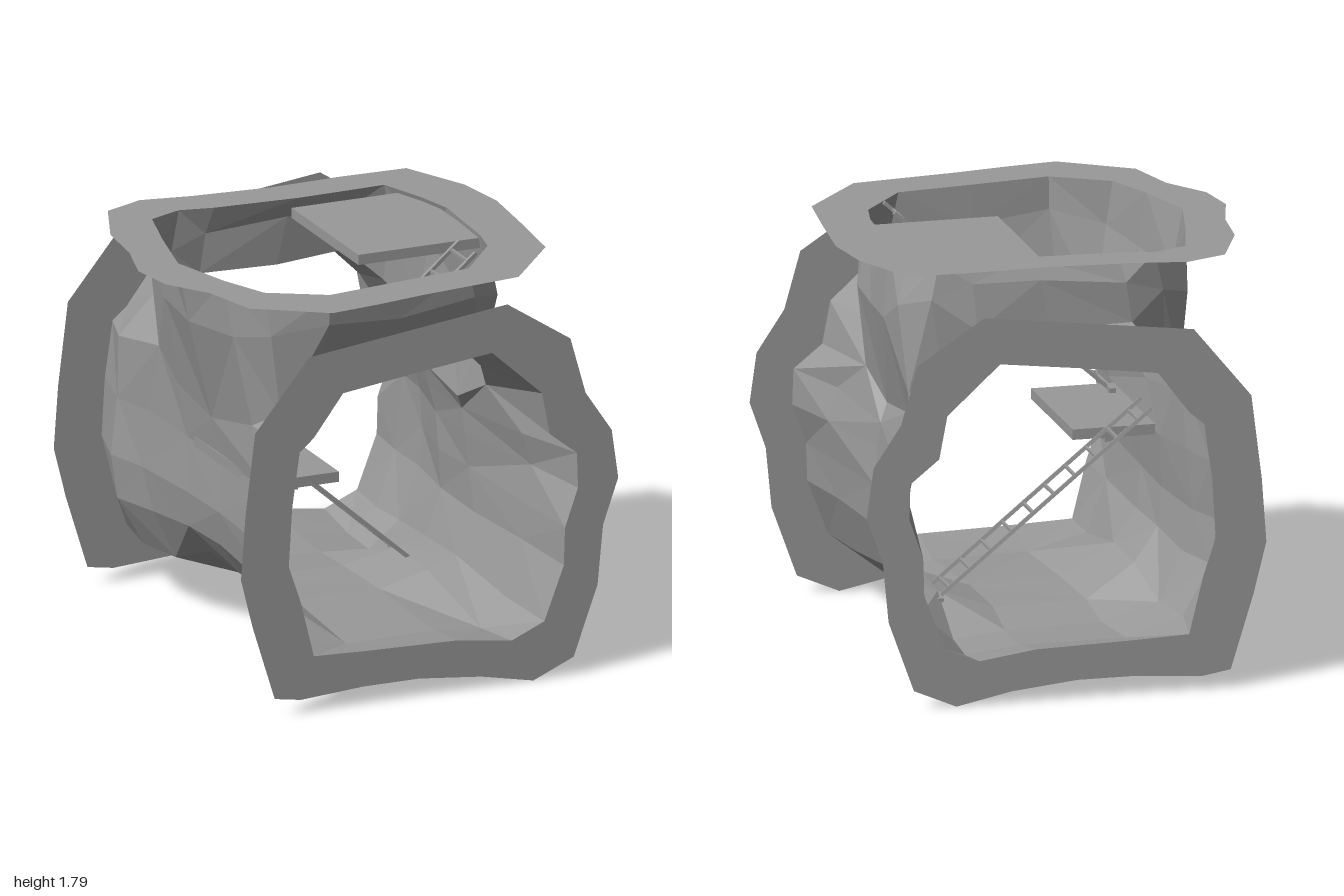
import * as THREE from 'three';

const rock = new THREE.MeshStandardMaterial({ color: 0x999999, side: THREE.DoubleSide });
rock.name = 'grey rock';

// Tunnel cross-sections, from the left shoulder over the top and round
const opening = [[-.535, 1.155], [-.47, 1.21], [-.335, 1.39], [.01, 1.435], [.35, 1.475], [.58, 1.265],
  [.615, 1.08], [.74, .98], [.745, .825], [.685, .655], [.68, .49], [.59, .255], [.44, .19],
  [.195, .225], [-.215, .235], [-.47, .245], [-.53, .49], [-.585, .655], [-.57, .91]];
const shoulder = [[-.56, 1.15], [-.49, 1.23], [-.33, 1.4], [.01, 1.4], [.33, 1.42], [.47, 1.28],
  [.58, 1.13], [.64, .98], [.67, .84], [.66, .67], [.65, .5], [.56, .27], [.43, .16],
  [.2, .18], [-.215, .185], [-.46, .25], [-.55, .47], [-.59, .66], [-.565, .91]];
const waist = [[-.57, 1.06], [-.5, 1.2], [-.33, 1.39], [.01, 1.43], [.35, 1.45], [.53, 1.3],
  [.55, 1.02], [.575, .95], [.6, .84], [.605, .68], [.6, .5], [.53, .31], [.4, .275],
  [.19, .215], [-.215, .22], [-.44, .35], [-.54, .5], [-.565, .66], [-.555, .89]];
const rim = [[-.49, 1.57], [.42, 1.68], [.71, 1.49], [.78, 1.24], [.9, 1.06], [.93, .845], [.86, .645],
  [.835, .385], [.725, .08], [.54, 0], [.3, .05], [.015, .08], [-.24, .08], [-.53, .06], [-.65, .08],
  [-.75, .405], [-.805, .625], [-.785, .9], [-.74, 1.265]];

// Shaft opening and rim as x, z
const shaftOpening = [[-.66, .42], [-.57, .635], [-.33, .775], [.01, .73], [.345, .69], [.54, .45],
  [.57, .3], [.58, .1], [.59, -.08], [.55, -.25], [.475, -.465], [.3, -.46], [.08, -.455],
  [-.3, -.48], [-.45, -.51], [-.6, -.45], [-.67, -.185], [-.74, .13]];
const shaftRim = [[-.545, -.7], [-.32, -.66], [.03, -.63], [.345, -.64], [.65, -.63], [.785, -.33],
  [.82, -.08], [.79, .25], [.755, .565], [.49, .88], [.03, .935], [-.21, .975], [-.42, 1], [-.715, .8],
  [-.78, .55], [-.905, .36], [-.935, .155], [-.87, -.08], [-.845, -.33], [-.725, -.625]];

// Stations: z, section, right and left width, roof shift, lean of the shoulders in z, skew in z, roughness
const stations = [[.92, opening, 1, 1, 0, 0, 0, 0], [.65, shoulder, 1, 1, 0, -.22, -.12, .3],
  [.13, waist, 1, 1, 0, 0, 0, .4], [-.2, waist, 1, 1, .05, 0, 0, .4],
  [-.52, shoulder, 1, 1.04, .08, .13, 0, .3], [-.74, shoulder, 1, 1.14, .03, 0, 0, .4],
  [-1, opening, 1, 1, 0, 0, 0, 0]];
const TOP = 1.78, HOLE = 6;

let seed = 7;
const jitter = (r) => {
  seed = (seed * 16807) % 2147483647;
  return (seed / 2147483647 - 0.5) * r;
};

// Faceted surface from a list of quads
function facets(name, quads) {
  const pos = [];
  quads.forEach(([a, b, c, d], i) => {
    const tris = i % 2 ? [a, b, c, a, c, d] : [a, b, d, b, c, d];
    tris.forEach((p) => pos.push(p.x, p.y, p.z));
  });
  const g = new THREE.BufferGeometry();
  g.setAttribute('position', new THREE.Float32BufferAttribute(pos, 3));
  g.computeVertexNormals();
  const m = new THREE.Mesh(g, rock);
  m.name = name;
  return m;
}

// Flat ring between an outer and an inner outline
function flange(name, outer, inner) {
  const toV = (l) => l.map(([x, y]) => new THREE.Vector2(x, y));
  const shape = new THREE.Shape(toV(outer));
  shape.holes.push(new THREE.Path(toV(inner)));
  const m = new THREE.Mesh(new THREE.ShapeGeometry(shape), rock);
  m.name = name;
  return m;
}

function box(name, x0, x1, y0, y1, z0, z1) {
  const m = new THREE.Mesh(new THREE.BoxGeometry(x1 - x0, y1 - y0, z1 - z0), rock);
  m.position.set((x0 + x1) / 2, (y0 + y1) / 2, (z0 + z1) / 2);
  m.name = name;
  return m;
}

function bar(name, a, b, w) {
  const d = b.clone().sub(a);
  const m = new THREE.Mesh(new THREE.BoxGeometry(w, d.length(), w), rock);
  m.position.copy(a).add(b).multiplyScalar(0.5);
  m.quaternion.setFromUnitVectors(new THREE.Vector3(0, 1, 0), d.normalize());
  m.name = name;
  return m;
}

// Ladder from a to b (centre line), with a cross bar at its foot
function ladder(name, a, b, rungs, crossAt, crossZ) {
  const g = new THREE.Group();
  g.name = name;
  const side = new THREE.Vector3(0, 0, 0.085);
  for (const s of [-1, 1]) {
    const o = side.clone().multiplyScalar(s);
    g.add(bar('ladderRail', a.clone().add(o), b.clone().add(o), 0.016));
  }
  for (let i = 0; i < rungs; i++) {
    const p = a.clone().lerp(b, (i + 0.6) / rungs);
    g.add(bar('ladderRung', p.clone().sub(side), p.clone().add(side), 0.012));
  }
  const c0 = crossAt.clone().setZ(crossZ[0]), c1 = crossAt.clone().setZ(crossZ[1]);
  g.add(bar('ladderCrossBar', c0, c1, 0.014));
  for (const c of [c0, c1]) {
    g.add(box('crossBarEnd', c.x - .014, c.x + .014, c.y - .01, c.y + .01, c.z - .014, c.z + .014));
  }
  return g;
}

export function createModel() {
  const model = new THREE.Group();
  model.name = 'caveJunction';
  const n = opening.length;

  // Tunnel walls, left open under the shaft
  const grid = stations.map(([z, section, right, left, roof, lean, skew, rough]) => section.map(([x, y], j) => {
    const r = 0.06 * rough;
    const slide = j === 0 || j === HOLE ? lean : j === 1 || j === HOLE - 1 ? lean * 0.4 : 0;
    return new THREE.Vector3(x * (x > 0 ? right : left) + jitter(r),
      y + (y > 1 ? roof : 0) + jitter(r * 0.6), z + slide + x * skew + jitter(r * 3));
  }));
  const walls = [];
  for (let i = 0; i < stations.length - 1; i++) {
    for (let j = 0; j < n; j++) {
      if (i >= 1 && i < 4 && j < HOLE) continue;
      const k = (j + 1) % n;
      walls.push([grid[i][j], grid[i][k], grid[i + 1][k], grid[i + 1][j]]);
    }
  }
  model.add(facets('tunnelWalls', walls));

  // Shaft walls, from the hole in the roof to the upper opening, bulging halfway
  const base = [...grid[1].slice(0, HOLE + 1), grid[2][HOLE], grid[3][HOLE],
    ...grid[4].slice(0, HOLE + 1).reverse(), grid[3][0], grid[2][0]];
  const upper = shaftOpening.map(([x, z]) => new THREE.Vector3(x, TOP, z));
  const middle = base.map((p, i) => {
    const m = p.clone().lerp(upper[i], 0.6);
    m.x *= m.x > 0 ? 1.1 : 1.02;
    m.z *= 1.03;
    return m.add(new THREE.Vector3(jitter(.02), jitter(.06), jitter(.02)));
  });
  const shaft = [];
  for (const [lo, hi] of [[base, middle], [middle, upper]]) {
    lo.forEach((p, i) => {
      const k = (i + 1) % lo.length;
      shaft.push([p, lo[k], hi[k], hi[i]]);
    });
  }
  model.add(facets('shaftWalls', shaft));

  // Flat rims round the three openings
  const front = flange('frontRim', rim, opening);
  front.position.z = 0.92;
  const back = flange('backRim', rim, opening);
  back.position.z = -1;
  const top = flange('topRim', shaftRim, shaftOpening);
  top.rotation.x = Math.PI / 2;
  top.position.y = TOP;
  model.add(front, back, top);

  // Platforms
  model.add(box('lowerPlatform', -.56, -.2, .875, .92, -.11, .575));
  model.add(box('platformBeam', -.395, -.355, .84, .875, -.05, .5));
  model.add(box('upperPlatform', .02, .585, 1.715, 1.76, -.4, .285));

  // Ladders
  const v = (x, y, z) => new THREE.Vector3(x, y, z);
  model.add(ladder('upperLadder', v(-.47, .97, .395), v(.45, 1.785, .445), 10, v(-.465, .98, 0), [.25, .53]));
  model.add(ladder('lowerLadder', v(-.48, 1.05, -.25), v(.4, .27, -.13), 10, v(.41, .255, 0), [-.24, .03]));
  return model;
}
